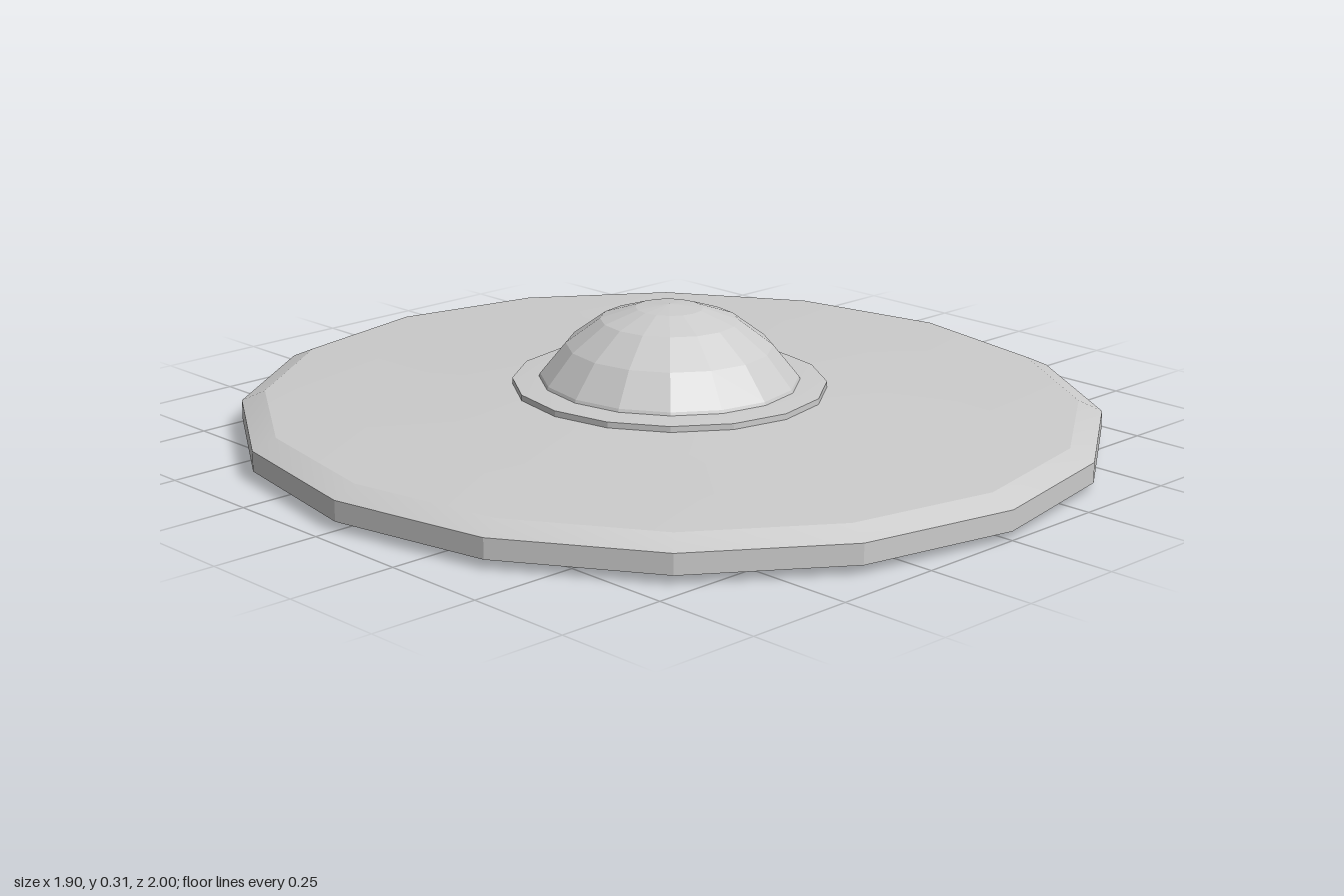
import * as THREE from 'three';
import { toCreasedNormals } from 'three/addons/utils/BufferGeometryUtils.js';

const SIDES = 16;
const material = new THREE.MeshStandardMaterial({ color: 0xcccccc });
const flatMaterial = new THREE.MeshStandardMaterial({ color: 0xcccccc, flatShading: true });

// Sixteen-sided turned form, slightly narrower across x
function turned(name, profile, mat) {
  const points = profile.map(([r, y]) => new THREE.Vector2(r, y));
  const geometry = new THREE.LatheGeometry(points, SIDES);
  geometry.scale(0.95, 1, 1);
  const mesh = new THREE.Mesh(mat === flatMaterial ? geometry : toCreasedNormals(geometry, 0.3), mat);
  mesh.name = name;
  return mesh;
}

// Thin strap that dips below the hull in a bell curve
function strapGeometry(width) {
  const half = 0.26, steps = 12, thickness = 0.012;
  const lower = [], upper = [];
  for (let i = 0; i <= steps; i++) {
    const x = -half + (2 * half * i) / steps;
    const y = 0.058 - 0.058 * Math.cos((Math.PI * x) / (2 * half)) ** 2;
    lower.push(new THREE.Vector2(x, y));
    upper.unshift(new THREE.Vector2(x, y + thickness));
  }
  const geometry = new THREE.ExtrudeGeometry(new THREE.Shape([...lower, ...upper]), {
    depth: width, bevelEnabled: false,
  });
  geometry.translate(0, 0, -width / 2);
  return toCreasedNormals(geometry, 0.5);
}

export function createModel() {
  const model = new THREE.Group();
  model.name = 'saucer';

  // Hull: shallow hollow underside, upright rim, bevel and gently rising deck
  model.add(turned('hull', [
    [0, 0.065], [0.5, 0.06], [0.8, 0.045], [1, 0.02],
    [1, 0.066], [0.945, 0.09], [0.75, 0.1], [0.5, 0.107], [0.36, 0.115], [0, 0.118],
  ], material));

  // Collar around the dome
  model.add(turned('collar', [
    [0.365, 0.11], [0.365, 0.128], [0.305, 0.133], [0, 0.133],
  ], material));

  // Faceted dome
  model.add(turned('dome', [
    [0.305, 0.128], [0.3, 0.14], [0.24, 0.212], [0.16, 0.27], [0.078, 0.297], [0, 0.305],
  ], flatMaterial));

  // Two straps under the hull
  const strap = strapGeometry(0.115);
  for (const [name, z] of [['frontStrap', 0.62], ['backStrap', -0.535]]) {
    const mesh = new THREE.Mesh(strap, material);
    mesh.name = name;
    mesh.position.z = z;
    model.add(mesh);
  }
  return model;
}
